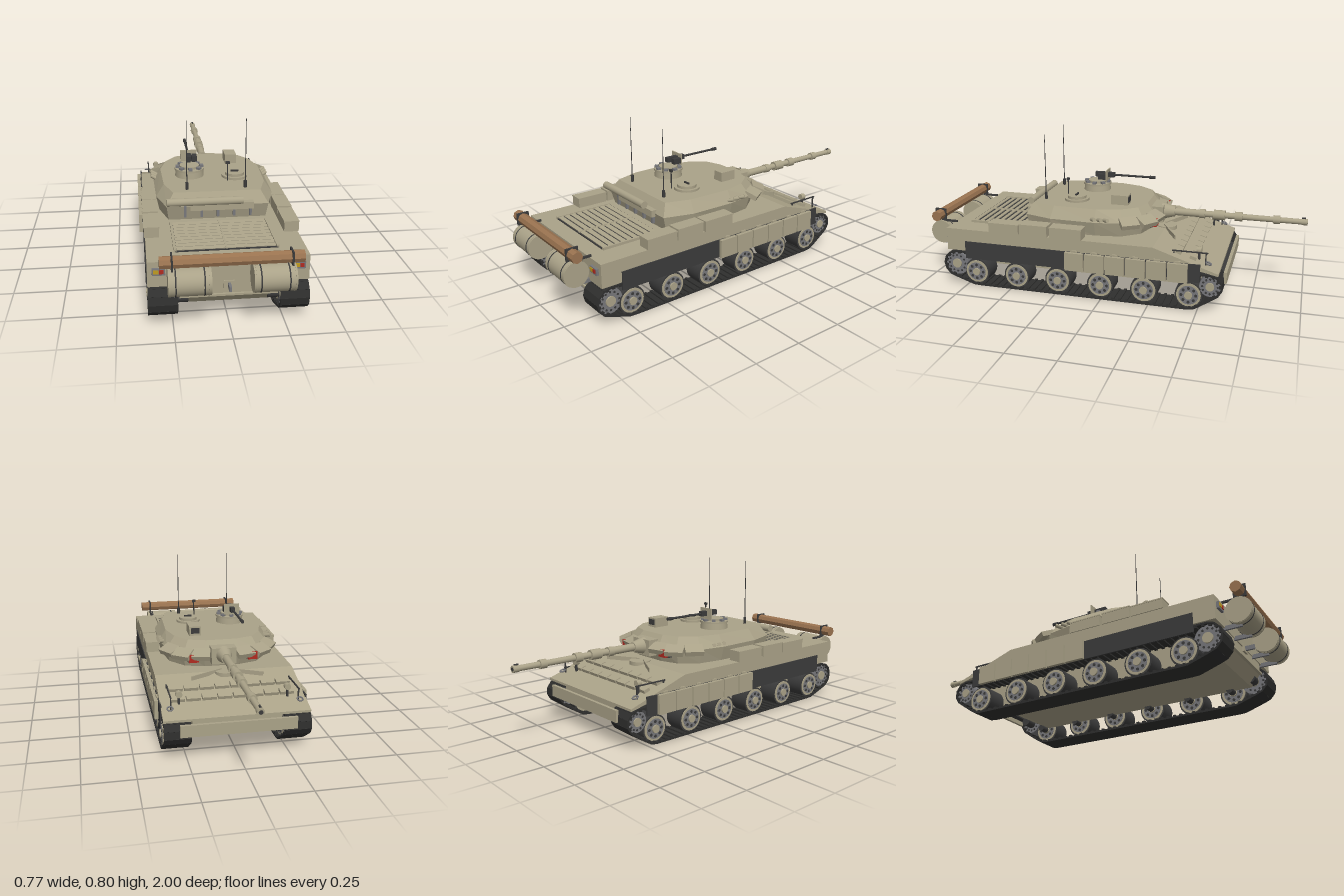
import * as THREE from 'three';

const mat = (color, extra = {}) => new THREE.MeshStandardMaterial({ color, ...extra });
const TAN = mat(0xaaa288), DARK = mat(0x3b3b3b), TRACK = mat(0x2f2f2e), GREY = mat(0x77777a);
const WOOD = mat(0x9a7350, { flatShading: true }), RED = mat(0xb02a20), GOLD = mat(0xc09a20);
const FACET = mat(0xaaa288, { flatShading: true });

export function createModel() {
  const tank = new THREE.Group();
  tank.name = 'tank';

  const add = (name, geo, m, x = 0, y = 0, z = 0, parent = tank) => {
    const mesh = new THREE.Mesh(geo, m);
    mesh.name = name;
    mesh.position.set(x, y, z);
    parent.add(mesh);
    return mesh;
  };
  const box = (name, w, h, d, x, y, z, m = TAN, p = tank) => add(name, new THREE.BoxGeometry(w, h, d), m, x, y, z, p);
  // Cylinder along a chosen axis; r2 is the radius at the negative end
  const cyl = (name, r, len, axis, x, y, z, m = TAN, p = tank, seg = 24, r2 = r) => {
    const g = new THREE.CylinderGeometry(r, r2, len, seg);
    if (axis === 'x') g.rotateZ(-Math.PI / 2);
    if (axis === 'z') g.rotateX(Math.PI / 2);
    return add(name, g, m, x, y, z, p);
  };
  // Side profile given as [z, y], extruded across x
  const profile = (name, pts, width, m = TAN) => {
    const g = new THREE.ExtrudeGeometry(new THREE.Shape(pts.map(p => new THREE.Vector2(...p))), { depth: width, bevelEnabled: false });
    return add(name, g.translate(0, 0, -width / 2).rotateY(-Math.PI / 2), m);
  };
  // Solid from stacked mirrored outlines; each is [y, half outline of [x, z] from front to back]
  const loft = (name, layers) => {
    const rings = layers.map(([y, half]) => [
      ...half.map(([x, z]) => [x, y, z]), ...half.slice().reverse().map(([x, z]) => [-x, y, z])]);
    const out = [], n = rings[0].length, top = rings.length - 1;
    for (let i = 0; i < n; i++) {
      const j = (i + 1) % n;
      for (let k = 0; k < top; k++) {
        const [a, b, A, B] = [rings[k][i], rings[k][j], rings[k + 1][i], rings[k + 1][j]];
        out.push(...a, ...A, ...B, ...a, ...B, ...b);
      }
      out.push(0, layers[top][0], 0.1, ...rings[top][j], ...rings[top][i]);
    }
    const g = new THREE.BufferGeometry();
    g.setAttribute('position', new THREE.Float32BufferAttribute(out, 3));
    g.computeVertexNormals();
    return add(name, g, FACET);
  };

  // Hull
  profile('upperHull', [[0.855, 0.2], [0.855, 0.32], [-0.27, 0.32], [-0.6, 0.212], [-0.6, 0.2], [-0.53, 0.215], [-0.45, 0.23], [0.72, 0.23], [0.75, 0.2]], 0.72);
  profile('lowerHull', [[0.85, 0.21], [0.85, 0.145], [0.8, 0.085], [-0.42, 0.085], [-0.59, 0.17], [-0.59, 0.205], [-0.4, 0.25], [0.75, 0.25]], 0.44);
  box('bowShadowPlate', 0.57, 0.015, 0.04, 0, 0.165, -0.6, DARK);
  box('bowBoard', 0.57, 0.06, 0.016, 0, 0.165, -0.625);
  box('rearPlateLip', 0.44, 0.01, 0.02, 0, 0.145, 0.85);

  // Running gear
  const wheelZ = [0.695, 0.465, 0.235, 0.005, -0.225, -0.455];
  const path = new THREE.CurvePath(), run = [];
  for (const [z, y, r, from, to] of [[0.81, 0.12, 0.07, 90, -73], [0.695, 0.085, 0.073, -73, -90],
    [-0.455, 0.085, 0.073, -90, -120], [-0.56, 0.14, 0.06, -120, -270]]) {
    for (let i = 0; i <= 10; i++) {
      const a = THREE.MathUtils.degToRad(from + (to - from) * i / 10);
      run.push(new THREE.Vector3(0, y + r * Math.sin(a), z + r * Math.cos(a)));
    }
  }
  run.forEach((p, i) => path.add(new THREE.LineCurve3(p, run[(i + 1) % run.length])));
  const LINKS = 88, spots = path.getSpacedPoints(LINKS);

  for (const s of [1, -1]) {
    const gear = new THREE.Group();
    gear.name = s > 0 ? 'leftRunningGear' : 'rightRunningGear';
    tank.add(gear);
    for (let i = 0; i < LINKS; i++) {
      const a = spots[i], b = spots[(i + 1) % LINKS];
      const link = new THREE.Group();
      link.name = 'trackLink';
      link.position.set(s * 0.294, (a.y + b.y) / 2, (a.z + b.z) / 2);
      link.rotation.x = -Math.atan2(b.y - a.y, b.z - a.z);
      gear.add(link);
      const d = a.distanceTo(b);
      box('trackPlate', 0.132, 0.009, d * 1.04, 0, 0, 0, TRACK, link);
      // travel direction runs rear to front along the ground, so the outer side is local -y there
      box('trackCleat', 0.128, 0.01, d * 0.4, 0, -0.007, 0, TRACK, link);
    }
    for (const z of wheelZ) {
      cyl('roadWheelTyre', 0.07, 0.1, 'x', s * 0.3, 0.085, z, DARK, gear, 28);
      cyl('roadWheelRim', 0.062, 0.108, 'x', s * 0.3, 0.085, z, TAN, gear, 28);
      cyl('roadWheelDish', 0.05, 0.112, 'x', s * 0.3, 0.085, z, GREY, gear, 24);
      for (let k = 0; k < 8; k++) {
        const a = k * Math.PI / 4;
        cyl('roadWheelHole', 0.008, 0.115, 'x', s * 0.3, 0.085 + 0.037 * Math.sin(a), z + 0.037 * Math.cos(a), DARK, gear, 8);
      }
      cyl('roadWheelHub', 0.02, 0.128, 'x', s * 0.3, 0.085, z, TAN, gear, 16);
      cyl('axle', 0.018, 0.1, 'x', s * 0.24, 0.085, z, DARK, gear, 10);
    }
    for (const [name, y, z, r] of [['driveSprocket', 0.12, 0.81, 0.064], ['idler', 0.14, -0.56, 0.054]]) {
      cyl(name, r, 0.11, 'x', s * 0.295, y, z, GREY, gear, 24);
      cyl(name + 'Hub', r * 0.4, 0.125, 'x', s * 0.295, y, z, TAN, gear, 16);
      cyl(name + 'Axle', 0.025, 0.1, 'x', s * 0.23, y, z, DARK, gear, 12);
      for (let k = 0; k < 12; k++) {
        const a = k * Math.PI / 6;
        cyl(name + 'Bolt', 0.006, 0.114, 'x', s * 0.295, y + r * 0.72 * Math.sin(a), z + r * 0.72 * Math.cos(a), DARK, gear, 6);
      }
    }

    // Side skirts
    box('rubberSkirt', 0.008, 0.095, 1.26, s * 0.361, 0.207, 0.12, DARK);
    for (let i = 0; i < 6; i++) {
      const z = -0.4 + i * 0.107;
      box('skirtPanel', 0.018, 0.096, 0.1, s * 0.375, 0.207, z);
      box('skirtLatch', 0.008, 0.012, 0.03, s * 0.366, 0.258, z);
    }
    // Fender stowage boxes
    for (const [z, d, h] of [[0.525, 0.165, 0.05], [0.36, 0.15, 0.056], [0.185, 0.17, 0.054]]) {
      box('fenderBox', 0.07, h, d, s * 0.33, 0.32 + h / 2, z);
      box('fenderBoxLid', 0.074, 0.006, d + 0.004, s * 0.33, 0.32 + h, z);
    }
    // Fuel drums and tail lights
    cyl('fuelDrum', 0.063, 0.185, 'x', s * 0.1825, 0.262, 0.932, TAN, tank, 32);
    for (const x of [0.12, 0.243]) {
      cyl('drumStrap', 0.0645, 0.006, 'x', s * x, 0.262, 0.932, DARK, tank, 32);
      box('drumBracket', 0.012, 0.02, 0.09, s * x, 0.2, 0.89, GREY);
    }
    for (const x of [0.1, 0.268]) cyl('drumRib', 0.0645, 0.004, 'x', s * x, 0.262, 0.932, TAN, tank, 32);
    box('logClamp', 0.008, 0.062, 0.062, s * 0.257, 0.36, 0.94, DARK);
    box('logBracket', 0.01, 0.01, 0.09, s * 0.257, 0.325, 0.89, DARK);
    box('tailLight', 0.058, 0.032, 0.015, s * 0.31, 0.276, 0.86, GREY);
    box('amberLens', 0.024, 0.018, 0.004, s * 0.31 - 0.012, 0.278, 0.869, GOLD);
    box('redLens', 0.018, 0.018, 0.004, s * 0.31 + 0.012, 0.278, 0.869, RED);

    // Headlight, guard and tow hook on the glacis
    cyl('headlight', 0.016, 0.025, 'z', s * 0.27, 0.298, -0.49, TAN, tank, 14);
    box('headlightPost', 0.01, 0.055, 0.01, s * 0.27, 0.265, -0.49, DARK);
    box('headlightGuard', 0.006, 0.006, 0.18, s * 0.315, 0.3, -0.45, DARK);
    for (const z of [-0.37, -0.53]) box('guardPost', 0.006, 0.065, 0.006, s * 0.315, 0.27, z, DARK);
    const hook = add('towHook', new THREE.TorusGeometry(0.014, 0.004, 6, 14), GREY, s * 0.32, 0.25, -0.545);
    hook.rotation.x = 1.2;
    // Wave breaker half
    const wave = box('waveBreaker', 0.19, 0.022, 0.006, s * 0.1, 0.32, -0.305);
    wave.rotation.y = s * 0.5;
  }

  // Glacis armour blocks following the slope
  for (const z of [-0.465, -0.39]) for (let i = 0; i < 8; i++) {
    const block = box('glacisBlock', 0.07, 0.018, 0.034, -0.273 + i * 0.078, 0.32 + (z + 0.27) * 0.327 + 0.008, z);
    block.rotation.x = -0.317;
  }
  cyl('driverHatch', 0.055, 0.02, 'y', 0, 0.315, -0.27);

  // Engine deck grille
  box('grilleBed', 0.47, 0.006, 0.31, 0, 0.322, 0.615, DARK);
  for (let i = 0; i < 9; i++) {
    const slat = box('grilleSlat', 0.45, 0.004, 0.023, 0, 0.328, 0.48 + i * 0.034, TAN);
    slat.rotation.x = 0.15;
  }
  box('grilleSpine', 0.008, 0.006, 0.31, 0, 0.329, 0.615);
  for (const s of [1, -1]) box('grilleSide', 0.012, 0.014, 0.31, s * 0.232, 0.326, 0.615);

  // Rear stowage
  cyl('unditchingLog', 0.028, 0.62, 'x', 0, 0.36, 0.94, WOOD, tank, 8);
  box('hitchPlate', 0.048, 0.04, 0.01, 0, 0.195, 0.855);
  box('hitchPin', 0.012, 0.022, 0.05, 0, 0.195, 0.88, GREY);

  // Turret
  cyl('turretRing', 0.25, 0.02, 'y', 0, 0.325, 0.1, TAN, tank, 32);
  loft('turret', [
    [0.325, [[0.09, -0.2], [0.19, -0.17], [0.26, -0.08], [0.28, 0.05], [0.28, 0.28], [0.24, 0.42]]],
    [0.4, [[0.1, -0.225], [0.2, -0.19], [0.275, -0.09], [0.3, 0.05], [0.295, 0.29], [0.25, 0.44]]],
    [0.46, [[0.08, -0.18], [0.17, -0.15], [0.23, -0.07], [0.262, 0.05], [0.255, 0.28], [0.215, 0.405]]],
  ]);
  for (const s of [1, -1]) {
    // Cheek armour wedges and infrared lamps
    for (const [x, z, turn] of [[0.115, -0.23, 0.25], [0.205, -0.205, 0.65], [0.262, -0.125, 1.0]]) {
      const wedge = box('cheekBlock', 0.095, 0.026, 0.07, s * x, 0.402, z);
      wedge.rotation.order = 'YXZ';
      wedge.rotation.set(-0.4, -s * turn, 0);
    }
    box('infraredLamp', 0.05, 0.04, 0.03, s * 0.155, 0.385, -0.235, RED);
    box('lampHousing', 0.056, 0.046, 0.025, s * 0.155, 0.385, -0.217, DARK);
    // Smoke dischargers and antennas
    for (let i = 0; i < 3; i++) {
      const tube = cyl('smokeTube', 0.01, 0.045, 'z', s * 0.292, 0.415, -0.01 + i * 0.035, TAN, tank, 10);
      tube.rotation.set(0.3, -s * 0.8, 0);
    }
    cyl('antennaBase', 0.008, 0.04, 'y', s * 0.145, 0.475, 0.365, DARK, tank, 10);
    cyl('antenna', 0.0015, 0.33, 'y', s * 0.145, 0.645, 0.365, DARK, tank, 6, 0.003);
  }
  cyl('snorkelTube', 0.019, 0.37, 'x', -0.065, 0.433, 0.465);
  box('turretBin', 0.31, 0.035, 0.03, 0.02, 0.4, 0.445);
  for (let i = 0; i < 5; i++) box('binBracket', 0.012, 0.06, 0.015, -0.16 + i * 0.08, 0.375, 0.442, GREY);

  // Gun
  box('mantlet', 0.13, 0.085, 0.07, 0, 0.395, -0.225);
  cyl('mantletCollar', 0.045, 0.07, 'z', 0, 0.4, -0.28, TAN, tank, 20, 0.026);
  cyl('barrel', 0.018, 0.77, 'z', 0, 0.4, -0.61, TAN, tank, 20, 0.014);
  cyl('muzzleRing', 0.017, 0.03, 'z', 0, 0.4, -0.985, TAN, tank, 20);
  cyl('muzzleBore', 0.01, 0.002, 'z', 0, 0.4, -1, DARK, tank, 16);
  box('muzzleReference', 0.008, 0.008, 0.02, 0, 0.418, -0.98, DARK);
  for (const [z, len, r] of [[-0.38, 0.14, 0.02], [-0.46, 0.03, 0.024], [-0.55, 0.06, 0.026], [-0.65, 0.04, 0.024], [-0.845, 0.035, 0.022]])
    cyl('barrelSleeve', r, len, 'z', 0, 0.4, z, TAN, tank, 20);

  // Commander cupola with machine gun
  const cx = -0.115, cz = 0.155;
  cyl('cupola', 0.07, 0.045, 'y', cx, 0.48, cz, TAN, tank, 28, 0.075);
  cyl('cupolaRing', 0.077, 0.01, 'y', cx, 0.498, cz, TAN, tank, 28);
  cyl('cupolaHatch', 0.05, 0.014, 'y', cx, 0.508, cz);
  for (let i = 0; i < 8; i++) {
    const a = i * Math.PI / 4;
    box('cupolaScope', 0.02, 0.014, 0.02, cx + 0.062 * Math.cos(a), 0.507, cz + 0.062 * Math.sin(a), GREY).rotation.y = -a;
  }
  box('gunShield', 0.085, 0.06, 0.006, cx, 0.545, 0.095);
  box('gunMount', 0.016, 0.05, 0.03, cx, 0.525, 0.11, DARK);
  box('machineGunBody', 0.024, 0.026, 0.11, cx, 0.547, 0.11, DARK);
  box('ammoBox', 0.025, 0.03, 0.045, cx + 0.028, 0.54, 0.12, DARK);
  cyl('machineGunBarrel', 0.006, 0.24, 'z', cx, 0.547, -0.05, DARK, tank, 10);
  cyl('machineGunMuzzle', 0.009, 0.03, 'z', cx, 0.547, -0.16, DARK, tank, 10);

  // Gunner hatch, sight and mast
  cyl('gunnerHatchRing', 0.066, 0.012, 'y', 0.115, 0.466, 0.2, TAN, tank, 28);
  cyl('gunnerHatch', 0.05, 0.014, 'y', 0.115, 0.479, 0.2);
  box('hatchHandle', 0.04, 0.008, 0.008, 0.115, 0.49, 0.2, DARK);
  box('gunnerSight', 0.062, 0.05, 0.09, 0.122, 0.485, -0.045);
  box('sightWindow', 0.045, 0.03, 0.004, 0.122, 0.487, -0.091, DARK);
  cyl('sensorMast', 0.003, 0.1, 'y', 0.07, 0.505, 0.265, DARK, tank, 8);
  box('sensorHead', 0.02, 0.012, 0.012, 0.07, 0.557, 0.265, DARK);

  return tank;
}
